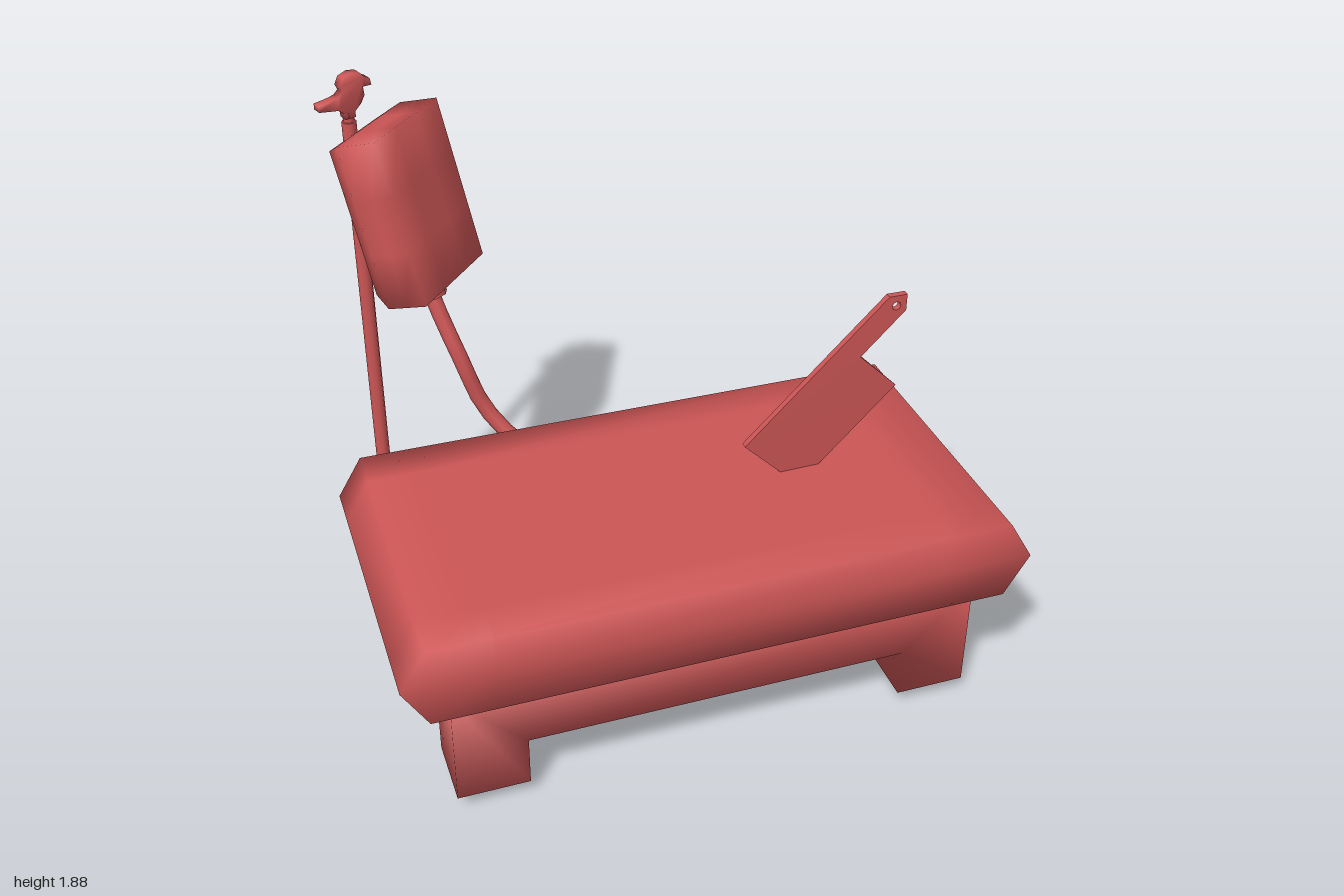
import * as THREE from 'three';
import { mergeVertices } from 'three/addons/utils/BufferGeometryUtils.js';

const material = new THREE.MeshStandardMaterial({ color: 0xcc5555 });

// Shared vertices give soft shading across the edges
function smooth(geometry) {
  geometry.deleteAttribute('uv');
  geometry.deleteAttribute('normal');
  const merged = mergeVertices(geometry);
  merged.computeVertexNormals();
  return merged;
}

function moveVertices(geometry, rule) {
  const p = geometry.attributes.position;
  const v = new THREE.Vector3();
  for (let i = 0; i < p.count; i++) {
    rule(v.fromBufferAttribute(p, i));
    p.setXYZ(i, v.x, v.y, v.z);
  }
  return geometry;
}

// Extrudes an outline, centred on z = 0
function plate(points, depth, holes = []) {
  const shape = new THREE.Shape(points.map(([x, y]) => new THREE.Vector2(x, y)));
  shape.holes.push(...holes);
  return new THREE.ExtrudeGeometry(shape, { depth, bevelEnabled: false, curveSegments: 8 })
    .translate(0, 0, -depth / 2);
}

function add(parent, name, geometry, x = 0, y = 0, z = 0) {
  const mesh = new THREE.Mesh(geometry, material);
  mesh.name = name;
  mesh.position.set(x, y, z);
  parent.add(mesh);
  return mesh;
}

export function createModel() {
  const model = new THREE.Group();
  model.name = 'tableWithCleaverAndBag';

  // Table top with pointed ends
  const top = moveVertices(new THREE.BoxGeometry(1.84, 0.27, 1, 3, 2, 3), (v) => {
    if (Math.abs(v.x) > 0.9) {
      if (Math.abs(v.y) < 0.01) v.x = Math.sign(v.x);
    } else v.x = Math.sign(v.x) * 0.72;
    if (Math.abs(v.z) < 0.4) v.z = Math.sign(v.z) * 0.36;
  });
  add(model, 'tableTop', smooth(top), 0, 0.585, 0.28);

  // Two leg frames, each a pair of legs joined by a rail
  const frame = [
    [-0.85, 0.06], [-0.62, 0.06], [-0.62, 0.23], [0.62, 0.23],
    [0.62, 0.06], [0.85, 0.06], [0.85, 0.45], [-0.85, 0.45],
  ];
  add(model, 'frontLegs', smooth(plate(frame, 0.228)), 0, 0, 0.598);
  add(model, 'backLegs', smooth(plate(frame, 0.228)), 0, 0, -0.03);

  // Cleaver stuck in the table, thinning to its cutting edge
  const hole = new THREE.Path().absarc(0.712, 1.272, 0.014, 0, Math.PI * 2, true);
  const cleaver = plate([
    [0.222, 0.848], [0.418, 0.652], [0.738, 0.973], [0.602, 1.108],
    [0.746, 1.252], [0.746, 1.308], [0.686, 1.308],
  ], 0.022, [hole]);
  moveVertices(cleaver, (v) => {
    if (v.y - v.x < 0.3) v.z *= 0.15;
  });
  cleaver.computeVertexNormals();
  add(model, 'cleaver', cleaver, 0, 0, 0.283);

  // Pole
  add(model, 'pole', new THREE.CylinderGeometry(0.024, 0.024, 1.72, 8), -0.79, 0.86, -0.62);
  add(model, 'poleTip', new THREE.CylinderGeometry(0.018, 0.018, 0.04, 8), -0.79, 1.735, -0.62);

  // Bird on top of the pole
  const bird = plate([
    [-0.105, 1.8], [-0.105, 1.78], [-0.04, 1.77], [-0.02, 1.755], [-0.018, 1.735],
    [0.018, 1.735], [0.018, 1.755], [0.04, 1.775], [0.055, 1.8], [0.052, 1.828],
    [0.082, 1.828], [0.078, 1.85], [0.06, 1.86], [0.045, 1.876], [0.015, 1.881],
    [-0.015, 1.87], [-0.028, 1.845], [-0.02, 1.826], [-0.035, 1.812], [-0.06, 1.806],
  ], 0.034);
  add(model, 'bird', smooth(bird), -0.79, 0, -0.62).rotation.y = 0.32;

  // Leaning bag, flat in front and rounded off behind
  const bag = new THREE.Group();
  bag.name = 'hangingBag';
  bag.position.set(-0.655, 1.452, -0.53);
  bag.rotation.set(-0.26, 0.89, -0.03, 'YXZ');
  model.add(bag);
  const bagBody = moveVertices(new THREE.BoxGeometry(0.41, 0.55, 0.21, 3, 3, 3), (v) => {
    if (v.z < -0.1) {
      v.x *= 0.72;
      v.y *= 0.9;
    }
  });
  add(bag, 'bagBody', smooth(bagBody));
  add(bag, 'bagNozzle', new THREE.CylinderGeometry(0.06, 0.052, 0.06, 8), 0, -0.295, 0);

  // Hose from the nozzle into the back of the table
  const path = new THREE.CatmullRomCurve3([
    [-0.6, 1.15, -0.475], [-0.575, 1.06, -0.445], [-0.53, 0.92, -0.402], [-0.46, 0.72, -0.385],
    [-0.35, 0.585, -0.32], [-0.19, 0.51, -0.215], [-0.1, 0.465, -0.14],
  ].map((p) => new THREE.Vector3(...p)));
  add(model, 'hose', new THREE.TubeGeometry(path, 12, 0.027, 8));

  return model;
}
